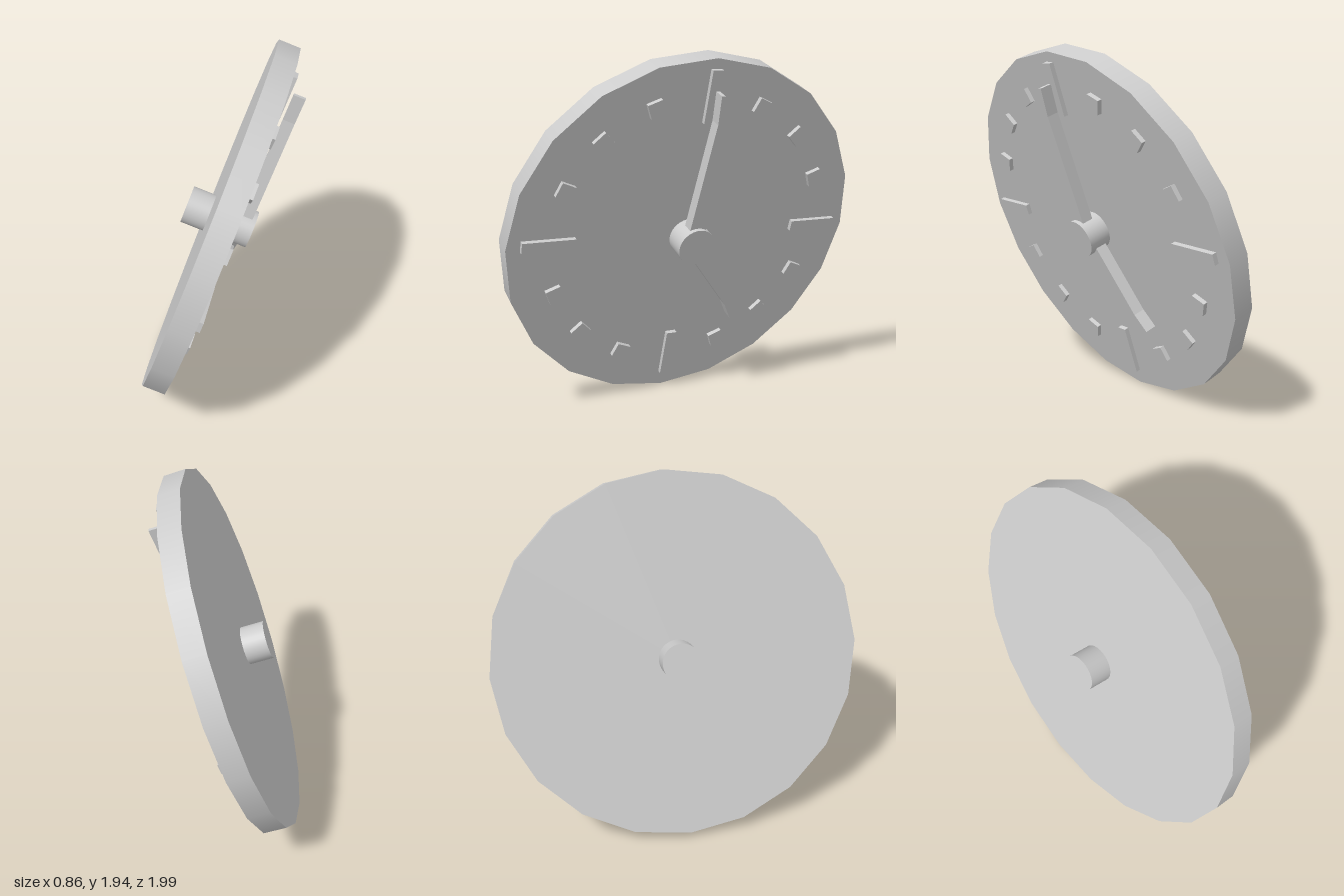
import * as THREE from 'three';

const material = new THREE.MeshStandardMaterial({ color: 0xcccccc, side: THREE.DoubleSide });

function part(name, geometry, parent) {
  const mesh = new THREE.Mesh(geometry, material);
  mesh.name = name;
  parent.add(mesh);
  return mesh;
}

// Cylinder whose axis is the dial's normal (local z)
function disc(radius, depth, sides) {
  return new THREE.CylinderGeometry(radius, radius, depth, sides).rotateX(Math.PI / 2);
}

// Slab that tapers to a narrow waist and flares slightly at its tip
function hand(length, depth) {
  const waist = length * 0.82;
  const outline = [
    [-0.054, 0], [0.054, 0], [0.002, waist],
    [0.011, length], [-0.011, length], [-0.002, waist],
  ].map(([x, y]) => new THREE.Vector2(x, y));
  return new THREE.ExtrudeGeometry(new THREE.Shape(outline), { depth, bevelEnabled: false });
}

export function createModel() {
  const model = new THREE.Group();
  model.name = 'clock';

  // Dial frame: local z is the face normal, local y points to twelve
  const dial = new THREE.Group();
  dial.name = 'dial';
  const normal = new THREE.Vector3(0.927, -0.324, 0.19).normalize();
  const up = new THREE.Vector3(0.328, 0.943, 0.054);
  up.addScaledVector(normal, -up.dot(normal)).normalize();
  const right = new THREE.Vector3().crossVectors(up, normal);
  dial.quaternion.setFromRotationMatrix(new THREE.Matrix4().makeBasis(right, up, normal));
  dial.position.y = 0.97;
  model.add(dial);

  // Faceted plate and the hub running through it
  part('plate', disc(1.005, 0.12, 20), dial);
  part('hub', disc(0.104, 0.38, 32), dial);

  // Sixteen marks: a long one on each quarter, three small squares between
  const marks = new THREE.Group();
  marks.name = 'marks';
  marks.position.set(0, 0.02, 0.06);
  dial.add(marks);
  for (let i = 0; i < 16; i++) {
    const angle = (i * Math.PI) / 8;
    const long = i % 4 === 0;
    const size = long ? [0.06, 0.285, 0.05] : [0.082, 0.082, 0.05];
    const mark = part(long ? 'quarterMark' : 'smallMark', new THREE.BoxGeometry(...size), marks);
    mark.position.set(-Math.sin(angle) * 0.787, Math.cos(angle) * 0.787, 0);
    mark.rotation.z = angle;
  }

  // Hands
  const minute = part('minuteHand', hand(0.847, 0.065), dial);
  minute.position.z = 0.102;
  minute.rotation.z = -0.008;
  const hour = part('hourHand', hand(0.61, 0.065), dial);
  hour.position.z = 0.09;
  hour.rotation.z = -(Math.PI - Math.atan2(0.329, 0.514));

  return model;
}
